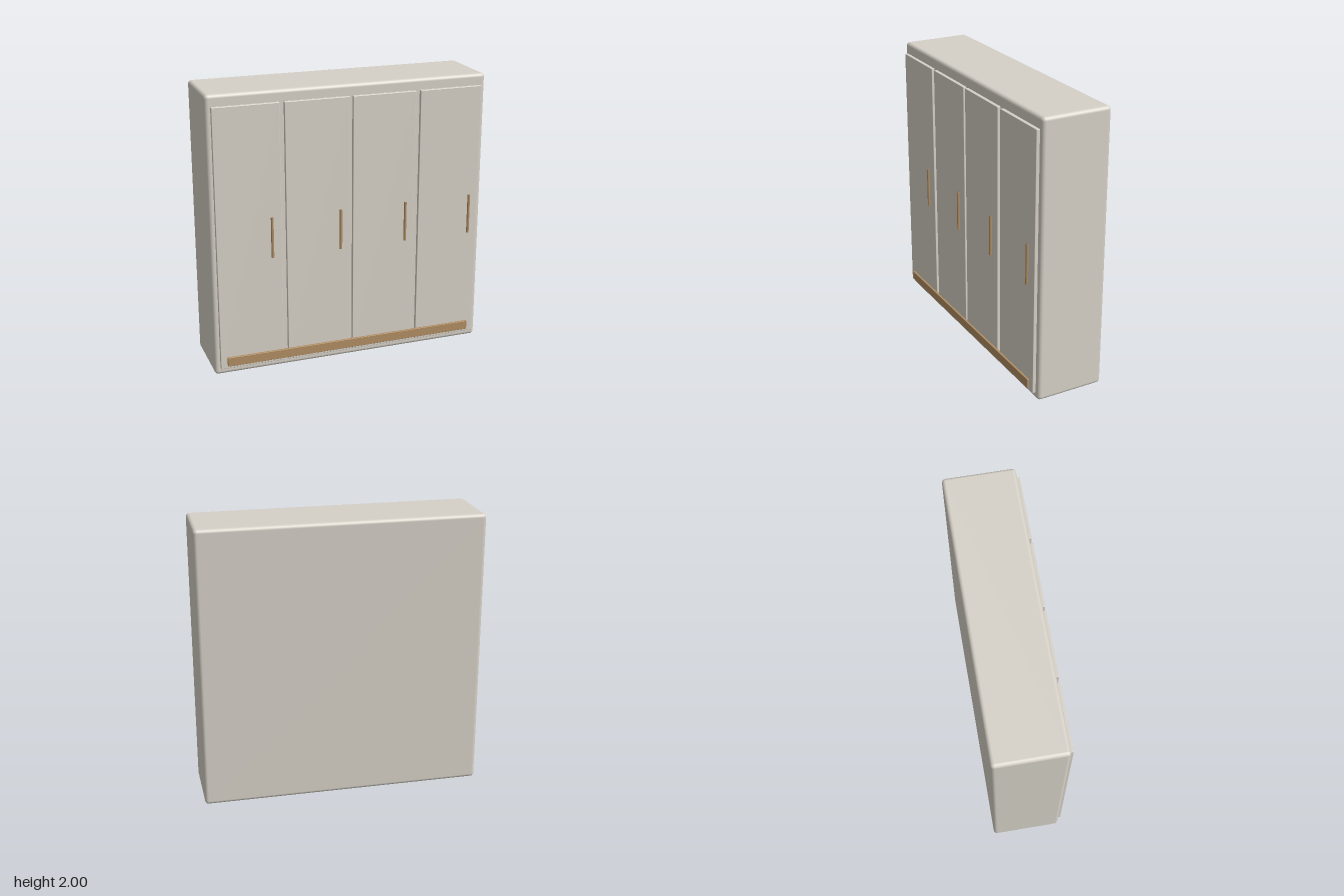
import * as THREE from 'three';
import { RoundedBoxGeometry } from 'three/addons/geometries/RoundedBoxGeometry.js';
import { mergeVertices } from 'three/addons/utils/BufferGeometryUtils.js';

const paint = new THREE.MeshStandardMaterial({ color: 0xd6d1c7 });
const wood = new THREE.MeshStandardMaterial({ color: 0xb08d62 });

// Rounded box given by its minimum and maximum corners
function block(name, min, max, radius, material) {
  const [w, h, d] = max.map((v, i) => v - min[i]);
  const mesh = new THREE.Mesh(new RoundedBoxGeometry(w, h, d, 4, radius), material);
  mesh.position.set(...max.map((v, i) => (v + min[i]) / 2));
  mesh.name = name;
  return mesh;
}

// Slim upright bar, with normals blended over its ends
function handleGeometry(radius, height) {
  const bar = new THREE.CylinderGeometry(radius, radius, height, 16);
  bar.deleteAttribute('normal');
  bar.deleteAttribute('uv');
  const merged = mergeVertices(bar);
  merged.computeVertexNormals();
  return merged;
}

export function createModel() {
  const group = new THREE.Group();
  group.name = 'wardrobe';

  // Cabinet body
  group.add(block('cabinet', [-1, 0, -0.272], [1, 2, 0.225], 0.026, paint));

  // Four doors, each with a handle near its left-hand edge
  const handle = handleGeometry(0.0095, 0.285);
  const doors = [[-0.734, -0.576], [-0.241, -0.083], [0.241, 0.399], [0.734, 0.892]];
  doors.forEach(([x, handleX], i) => {
    group.add(block(`door${i + 1}`, [x - 0.229, 0.05, 0.2], [x + 0.229, 1.92, 0.249], 0.004, paint));
    const bar = new THREE.Mesh(handle, wood);
    bar.name = `handle${i + 1}`;
    bar.position.set(handleX, 0.988, 0.2635);
    group.add(bar);
  });

  // Wooden kick rail across the doors
  group.add(block('kickRail', [-0.916, 0.07, 0.245], [0.916, 0.136, 0.264], 0.003, wood));

  return group;
}
